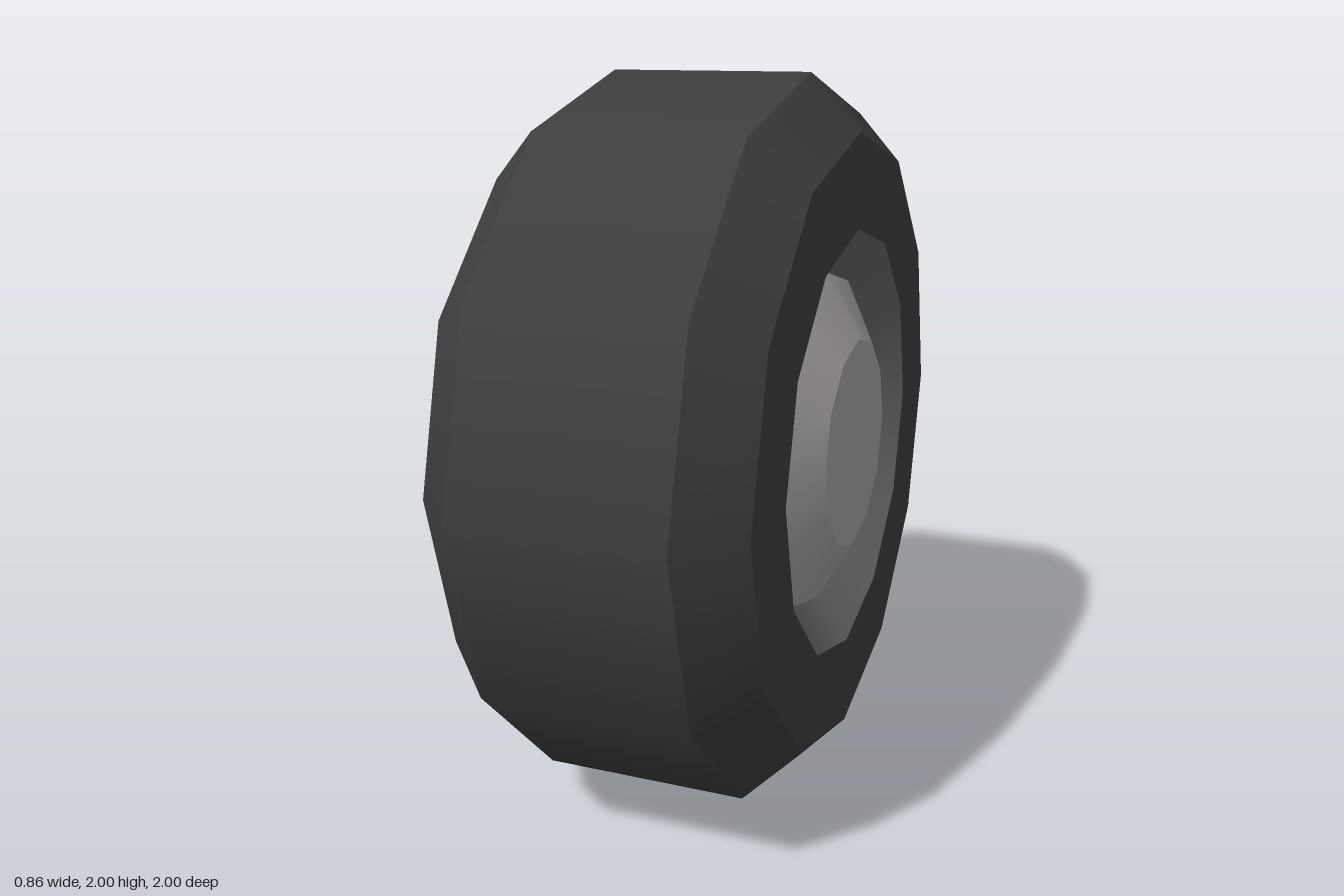
import * as THREE from 'three';
import { mergeGeometries } from 'three/addons/utils/BufferGeometryUtils.js';

const SIDES = 12;

// Revolve a [radius, x] profile about the x axis; each band is smooth around, sharp to its neighbours
function revolve(name, profile, material) {
  const bands = [];
  for (let i = 0; i < profile.length - 1; i++) {
    const pair = [profile[i], profile[i + 1]].map(([r, x]) => new THREE.Vector2(r, x));
    bands.push(new THREE.LatheGeometry(pair, SIDES));
  }
  const geometry = mergeGeometries(bands);
  geometry.rotateZ(-Math.PI / 2);
  const mesh = new THREE.Mesh(geometry, material);
  mesh.name = name;
  return mesh;
}

function flat(name, color) {
  const material = new THREE.MeshStandardMaterial({ color });
  material.name = name;
  return material;
}

export function createModel() {
  const rubber = flat('dark rubber', 0x3e3e3e);
  const rimGrey = flat('rim grey', 0x686868);
  const hubGrey = flat('hub light grey', 0xaaa7a5);

  const wheel = new THREE.Group();
  wheel.name = 'wheel';
  wheel.position.y = 1;

  // Tyre: closed inner face, bevelled shoulders, flat tread and outer sidewall
  wheel.add(revolve('tyre', [
    [0, -0.43], [0.85, -0.43], [1, -0.285], [1, 0.28], [0.85, 0.42], [0.595, 0.42],
  ], rubber));

  // Sloping recess between sidewall and hub
  wheel.add(revolve('rimRecess', [[0.595, 0.42], [0.475, 0.33]], rimGrey));

  // Domed hub cap with a flat centre
  wheel.add(revolve('hubCap', [[0.475, 0.33], [0.295, 0.43], [0, 0.43]], hubGrey));

  const model = new THREE.Group();
  model.name = 'wheelModel';
  model.add(wheel);
  return model;
}
